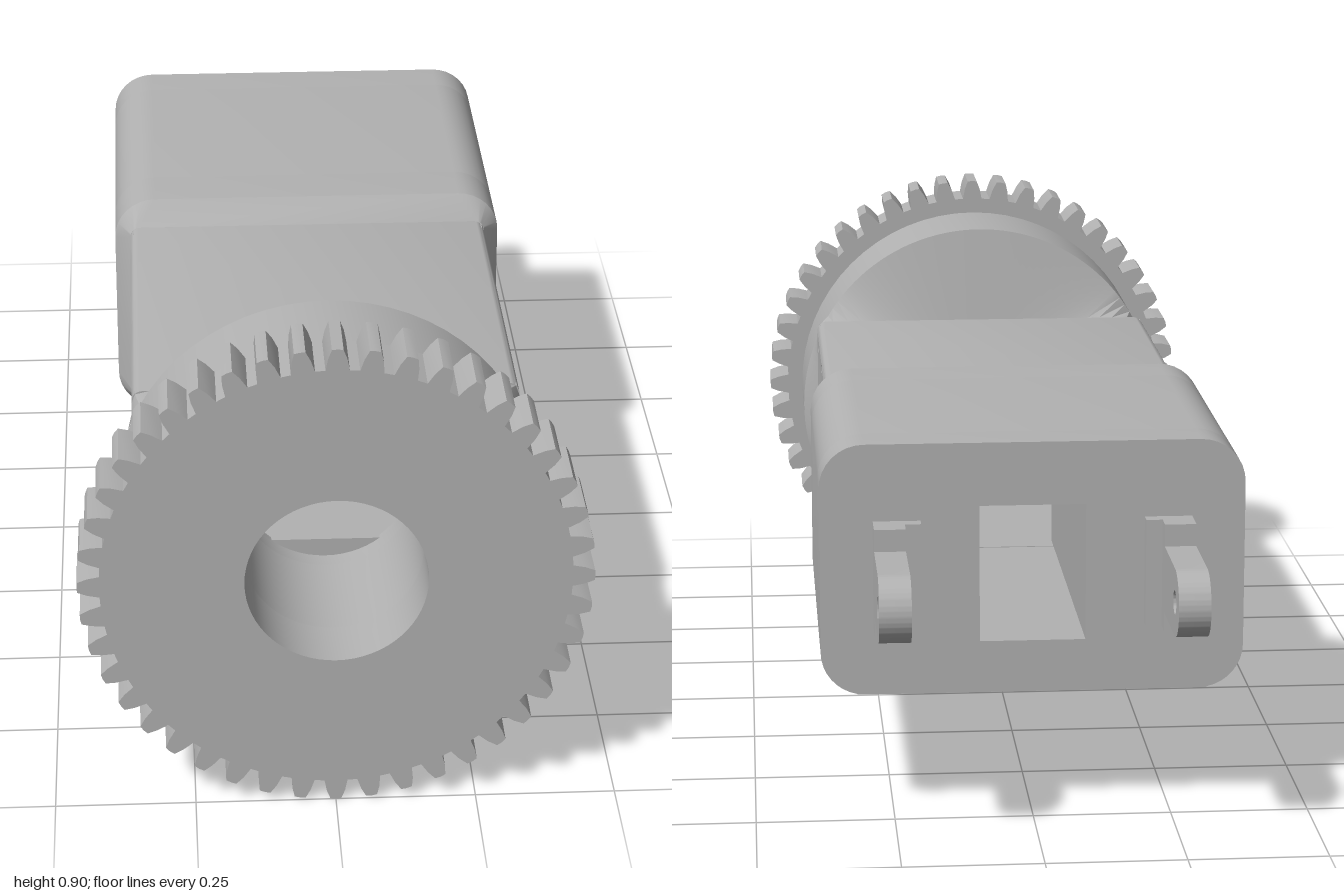
import * as THREE from 'three';
import { toCreasedNormals } from 'three/addons/utils/BufferGeometryUtils.js';

const CY = 0.45; // height of the main axis

export function createModel() {
  const model = new THREE.Group();
  const grey = new THREE.MeshStandardMaterial({ color: 0xb2b2b2 });
  grey.name = 'plain grey';

  const add = (name, geometry) => {
    const mesh = new THREE.Mesh(toCreasedNormals(geometry, 0.5), grey);
    mesh.name = name;
    model.add(mesh);
    return mesh;
  };
  const poly = (pts) => new THREE.Shape(pts.map(([x, y]) => new THREE.Vector2(x, y)));
  const rect = (x0, x1, y0, y1) => poly([[x0, y0], [x1, y0], [x1, y1], [x0, y1]]);
  const circle = (x, y, r) => new THREE.Path().absarc(x, y, r, 0, Math.PI * 2, true);
  const extrude = (shape, depth, holes = []) => {
    shape.holes.push(...holes);
    return new THREE.ExtrudeGeometry(shape, { depth, bevelEnabled: false, curveSegments: 32 });
  };
  const alongZ = (shape, z0, z1, holes) => extrude(shape, z1 - z0, holes).translate(0, 0, z0);
  // shape drawn in (-z, y), thickened along x
  const alongX = (shape, x0, x1, holes) => extrude(shape, x1 - x0, holes).rotateY(Math.PI / 2).translate(x0, 0, 0);
  const bore = () => circle(0, CY, 0.16);
  const tunnel = () => rect(-0.095, 0.095, 0.325, 0.575);

  // skin between two matching rings, back ring a and front ring b
  const loft = (a, za, b, zb) => {
    const pos = [];
    const index = [];
    const n = a.length;
    for (let i = 0; i < n; i++) pos.push(...a[i], za, ...b[i], zb);
    for (let i = 0; i < n; i++) {
      const j = (i + 1) % n;
      index.push(2 * i, 2 * j, 2 * j + 1, 2 * i, 2 * j + 1, 2 * i + 1);
    }
    const g = new THREE.BufferGeometry();
    g.setAttribute('position', new THREE.Float32BufferAttribute(pos, 3));
    g.setIndex(index);
    return g;
  };
  const roundedRing = (hw, y0, y1, r, steps = 8) => {
    const pts = [];
    const corners = [[hw - r, y1 - r], [r - hw, y1 - r], [r - hw, y0 + r], [hw - r, y0 + r]];
    corners.forEach(([cx, cy], k) => {
      for (let i = 0; i <= steps; i++) {
        const t = (k + i / steps) * Math.PI / 2;
        pts.push([cx + r * Math.cos(t), cy + r * Math.sin(t)]);
      }
    });
    return pts;
  };

  // gear
  const teeth = 44;
  const profile = [[-0.05, 0.411], [-0.038, 0.432], [-0.022, 0.449], [0, 0.45], [0.022, 0.449], [0.038, 0.432], [0.05, 0.411]];
  const gear = [];
  for (let i = 0; i < teeth; i++) {
    for (const [da, r] of profile) {
      const t = i / teeth * Math.PI * 2 + da;
      gear.push([r * Math.cos(t), CY + r * Math.sin(t)]);
    }
  }
  add('gear', alongZ(poly(gear), 0.89, 1, [bore()]));

  // round neck and its taper into the rectangular body
  const neck = new THREE.Shape().absarc(0, CY, 0.38, 0, Math.PI * 2);
  add('neck', alongZ(neck, 0.67, 0.89, [bore()]));
  const boxRing = [];
  const roundRing = [];
  for (let i = 0; i < 128; i++) {
    const t = i / 128 * Math.PI * 2;
    const c = Math.cos(t), s = Math.sin(t);
    const r = Math.min(0.35 / Math.abs(c), 0.19 / Math.abs(s), 0.39);
    boxRing.push([r * c, CY + r * s]);
    roundRing.push([0.38 * c, CY + 0.38 * s]);
  }
  add('neckTaper', loft(boxRing, 0.635, roundRing, 0.67));
  add('boreLiner', alongZ(rect(-0.345, 0.345, 0.265, 0.635), 0.625, 0.636, [bore()]));
  add('boreSleeve', alongZ(new THREE.Shape().absarc(0, CY, 0.185, 0, Math.PI * 2), 0.636, 0.67, [bore()]));

  // body: top and bottom slabs with rounded outer corners
  const slab = [];
  for (let i = 0; i <= 6; i++) {
    const t = i / 6 * Math.PI / 2;
    slab.push([0.33 + 0.02 * Math.cos(t), 0.17 + 0.02 * Math.sin(t)]);
  }
  slab.unshift([0.3, 0.125], [0.3, 0.17]);
  const slabLoop = [...slab, ...slab.map(([x, y]) => [-x, y]).reverse()];
  for (const [name, s] of [['bodyTop', 1], ['bodyBottom', -1]]) {
    add(name, alongZ(poly(slabLoop.map(([x, y]) => [x, CY + s * y])), -0.06, 0.636));
  }

  // body sides with windows and screw holes, three on one side and four on the other
  const sides = [
    ['leftWall', 0.3, [[0, 0.153], [0.228, 0.383], [0.453, 0.61]]],
    ['rightWall', -0.35, [[0, 0.11], [0.153, 0.28], [0.314, 0.453], [0.49, 0.61]]],
  ];
  for (const [name, x, windows] of sides) {
    const holes = [];
    for (const [z0, z1] of windows) {
      holes.push(rect(-z1, -z0, 0.325, 0.58));
      for (const y of [0.295, 0.605]) holes.push(circle(-(z0 + z1) / 2, y, 0.011));
    }
    add(name, alongX(rect(-0.636, 0.06, 0.28, 0.62), x, x + 0.05, holes));
  }
  add('bulkhead', alongZ(rect(-0.345, 0.345, 0.265, 0.635), -0.08, -0.04, [tunnel()]));

  // rear housing: chamfer, then sections along z, the middle one with two pockets
  add('housingChamfer', loft(roundedRing(0.38, 0.23, 0.69, 0.08), -0.085, roundedRing(0.35, 0.26, 0.645, 0.02), -0.05));
  const section = (pockets) => {
    const half = [];
    for (let i = 0; i <= 8; i++) {
      const t = (1 - i / 8) * Math.PI / 2;
      half.push([0.3 + 0.08 * Math.cos(t), 0.61 + 0.08 * Math.sin(t)]);
    }
    const edge = pockets ? 0.355 : 0.315;
    const end = Math.acos((edge - 0.3) / 0.08);
    for (let i = 0; i <= 8; i++) {
      const t = -end * i / 8;
      half.push([0.3 + 0.08 * Math.cos(t), 0.31 + 0.08 * Math.sin(t)]);
    }
    if (pockets) half.push([edge, 0.61], [0.115, 0.61], [0.115, 0.25]);
    else half.push([edge, 0.25]);
    return poly([...half, ...half.map(([x, y]) => [-x, y]).reverse()]);
  };
  add('housingRear', alongZ(section(false), -0.73, -0.645, [tunnel()]));
  add('housingMiddle', alongZ(section(true), -0.645, -0.19, [tunnel()]));
  add('housingFront', alongZ(section(false), -0.19, -0.085, [tunnel()]));

  // bottom plate, waisted between the pockets, with screw holes
  const plateHalf = [[0.315, -0.73], [0.315, -0.645], [0.115, -0.645], [0.115, -0.19], [0.315, -0.19], [0.315, -0.085]];
  const plate = poly([...plateHalf, ...plateHalf.map(([x, z]) => [-x, z]).reverse()]);
  const screws = [];
  for (const z of [-0.69, -0.135]) {
    for (const x of [-0.3, -0.18, 0.18, 0.3]) screws.push(circle(x, z, 0.013));
  }
  add('bottomPlate', extrude(plate, 0.02, screws).rotateX(Math.PI / 2).translate(0, 0.25, 0));

  // rear hinge lugs
  for (const [side, s] of [['left', 1], ['right', -1]]) {
    const arm = new THREE.Shape();
    arm.moveTo(0.73, 0.355);
    arm.lineTo(0.79, 0.355);
    arm.lineTo(0.79, 0.39);
    arm.lineTo(0.94, 0.39);
    arm.absarc(0.94, CY, 0.06, -Math.PI / 2, Math.PI / 2);
    arm.lineTo(0.79, 0.51);
    arm.lineTo(0.79, 0.55);
    arm.lineTo(0.73, 0.55);
    const x = s * 0.257;
    add(side + 'Lug', alongX(arm, x - 0.028, x + 0.028, [circle(0.94, CY, 0.021)]));
    const foot = add(side + 'LugFoot', new THREE.BoxGeometry(0.03, 0.195, 0.025));
    foot.position.set(s * 0.215, 0.4525, -0.7425);
  }
  return model;
}
